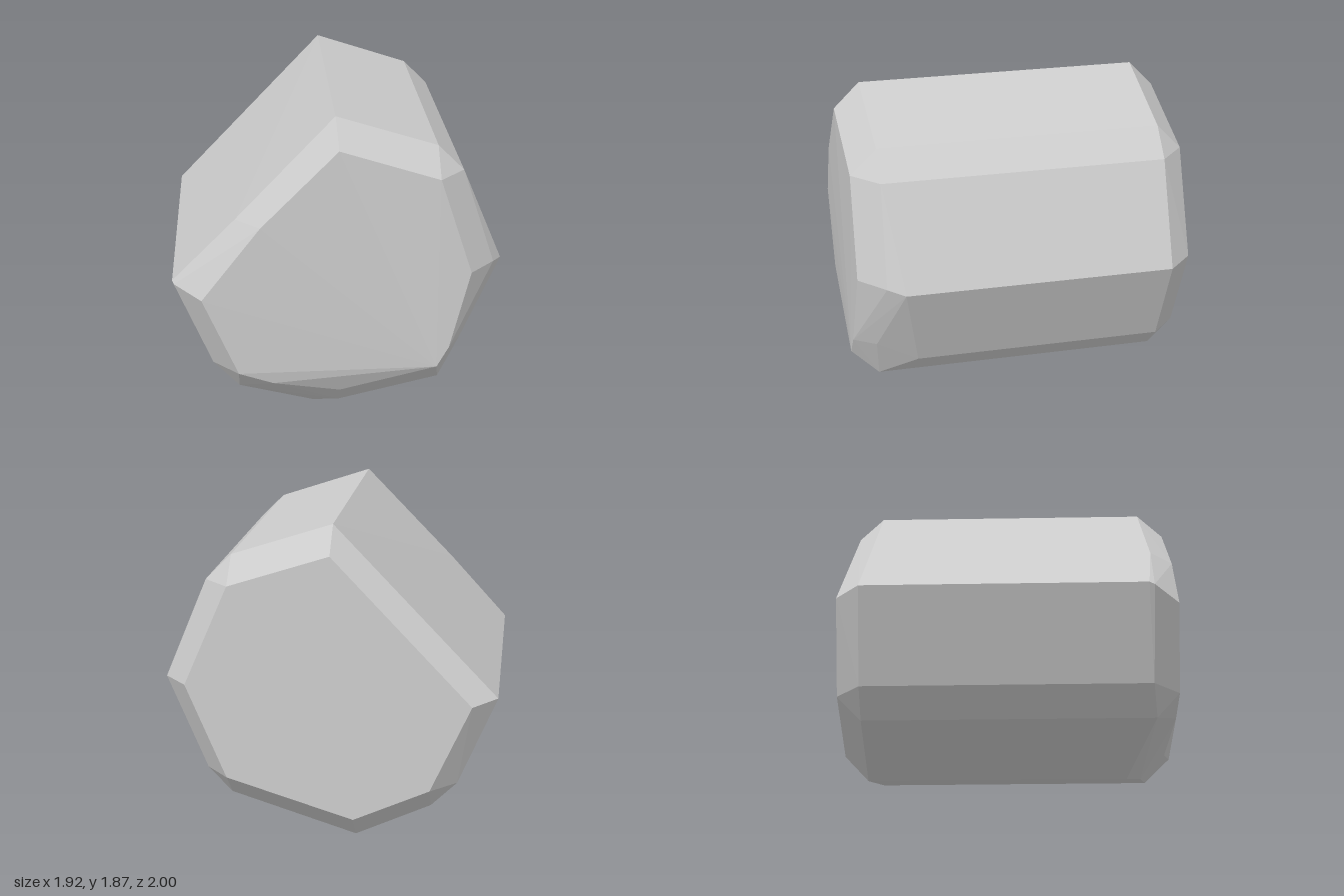
import * as THREE from 'three';
import { ConvexGeometry } from 'three/addons/geometries/ConvexGeometry.js';

// Outer cross-section, clockwise from the top ridge: x, y, z where the straight side ends at the front
const body = [
  [-0.02, 1.87, 0.82], [0.56, 1.68, 0.8], [0.71, 1.53, 0.8], [0.96, 0.94, 0.71], [0.73, 0.38, 0.62],
  [0.59, 0.23, 0.84], [-0.15, 0, 0.68], [-0.59, 0.21, 0.84], [-0.74, 0.36, 0.82], [-0.96, 0.89, 0.8],
];

// Bevel corners between the sides and the front face
const bevel = [
  [-0.59, 1.28, 0.845], [0.9, 0.96, 0.81], [0.71, 0.5, 0.86], [0, 0.05, 0.77], [-0.95, 0.88, 0.83],
];

// Front face outline, slightly uneven in depth
const front = [
  [-0.01, 1.72, 0.975], [0.56, 1.53, 0.955], [0.75, 0.96, 0.96], [0.63, 0.5, 0.99], [0.56, 0.38, 1],
  [0, 0.2, 0.92], [-0.39, 0.285, 0.965], [-0.59, 0.36, 0.975], [-0.79, 0.84, 0.98], [-0.45, 1.28, 0.985],
];

// Flat back face outline
const back = [
  [-0.02, 1.72], [0.56, 1.53], [0.82, 0.94], [0.59, 0.38], [-0.15, 0.155], [-0.59, 0.36], [-0.82, 0.88],
];

export function createModel() {
  const points = [
    ...body,
    ...body.map(([x, y]) => [x, y, -0.855]),
    ...bevel,
    ...front,
    ...back.map(([x, y]) => [x, y, -1]),
  ].map((p) => new THREE.Vector3(...p));

  // Faceted boulder with bevelled ends
  const rock = new THREE.Mesh(
    new ConvexGeometry(points),
    new THREE.MeshStandardMaterial({ color: 0xcccccc, flatShading: true })
  );
  rock.name = 'rock';

  const group = new THREE.Group();
  group.name = 'boulder';
  group.add(rock);
  return group;
}
